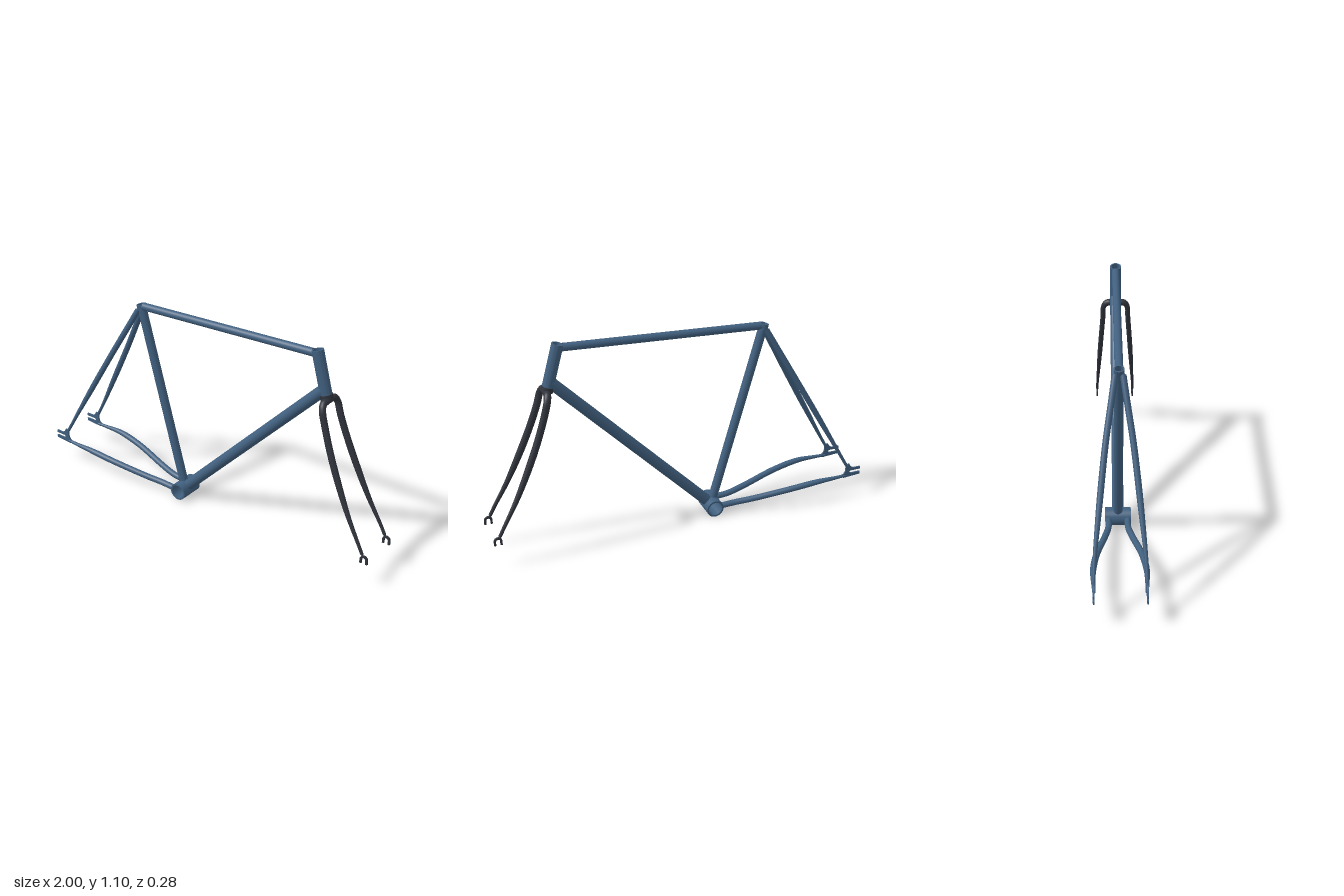
import * as THREE from 'three';
import { toCreasedNormals } from 'three/addons/utils/BufferGeometryUtils.js';

const V = (x, y, z = 0) => new THREE.Vector3(x, y, z);
const framePaint = new THREE.MeshStandardMaterial({ color: 0x41607f, side: THREE.DoubleSide });
const forkPaint = new THREE.MeshStandardMaterial({ color: 0x30343c, side: THREE.DoubleSide });

// Main joints of the frame
const bottom = V(-0.185, 0.046);
const seatTop = V(-0.459, 1.03);
const headTop = V(0.604, 1.09);
const headLow = V(0.661, 0.88);
const forkTop = V(0.668, 0.855);
const Z = V(0, 0, 1);
const seatAxis = seatTop.clone().sub(bottom).normalize();
const headAxis = headTop.clone().sub(headLow).normalize();

function add(group, name, geometry, material) {
  const mesh = new THREE.Mesh(geometry, material);
  mesh.name = name;
  group.add(mesh);
  return mesh;
}

// Hollow pipe with a visible wall from a to b
function pipe(a, b, outer, inner) {
  const shape = new THREE.Shape().absarc(0, 0, outer, 0, Math.PI * 2);
  if (inner) shape.holes.push(new THREE.Path().absarc(0, 0, inner, 0, Math.PI * 2, true));
  const dir = b.clone().sub(a);
  const geo = new THREE.ExtrudeGeometry(shape, { depth: dir.length(), bevelEnabled: false, curveSegments: 20 });
  geo.applyQuaternion(new THREE.Quaternion().setFromUnitVectors(Z, dir.normalize()));
  geo.translate(a.x, a.y, a.z);
  return toCreasedNormals(geo, 0.6);
}

// Distance along a line (p, d) to the wall of a joint cylinder
function wallDistance(p, d, joint, sign) {
  const w = p.clone().sub(joint.center).projectOnPlane(joint.axis);
  const e = d.clone().projectOnPlane(joint.axis);
  const k = w.dot(e), ee = e.lengthSq();
  const disc = Math.max(0, k * k - ee * (w.lengthSq() - joint.radius ** 2));
  return (-k + sign * Math.sqrt(disc)) / ee;
}

// Straight tube whose ends are cut to fit the tubes they meet
function fittedTube(a, b, radius, jointA, jointB) {
  const d = b.clone().sub(a);
  const length = d.length();
  d.normalize();
  const geo = new THREE.CylinderGeometry(radius, radius, 2, 32, 1, true);
  geo.applyQuaternion(new THREE.Quaternion().setFromUnitVectors(V(0, 1, 0), d));
  const pos = geo.attributes.position;
  const p = V(0, 0);
  for (let i = 0; i < pos.count; i++) {
    p.fromBufferAttribute(pos, i);
    const atEnd = p.dot(d) > 0;
    p.projectOnPlane(d).add(a);
    let t = atEnd ? length : 0;
    if (atEnd && jointB) t = wallDistance(p, d, jointB, -1);
    if (!atEnd && jointA) t = wallDistance(p, d, jointA, 1);
    p.addScaledVector(d, t);
    pos.setXYZ(i, p.x, p.y, p.z);
  }
  return geo;
}

// Curved tube with a radius that changes along its length
function taperedTube(points, radiusAt, zScale = 1, rings = 64) {
  const curve = new THREE.CatmullRomCurve3(points);
  const sides = 16;
  const geo = new THREE.TubeGeometry(curve, rings, 1, sides);
  const pos = geo.attributes.position;
  const p = V(0, 0);
  for (let i = 0; i <= rings; i++) {
    const c = curve.getPointAt(i / rings);
    const r = radiusAt(i / rings);
    for (let j = 0; j <= sides; j++) {
      const k = i * (sides + 1) + j;
      p.fromBufferAttribute(pos, k).sub(c).multiplyScalar(r);
      pos.setXYZ(k, c.x + p.x, c.y + p.y, c.z + p.z * zScale);
    }
  }
  return geo;
}

function plate(shape, z, thickness) {
  const geo = new THREE.ExtrudeGeometry(shape, { depth: thickness, bevelEnabled: false, curveSegments: 10 });
  geo.translate(0, 0, z - thickness / 2);
  return toCreasedNormals(geo, 0.6);
}

// Rear wheel end with a slot open to the back
function rearEndShape() {
  const s = new THREE.Shape();
  s.moveTo(-1, 0.122);
  s.lineTo(-0.9, 0.115);
  s.lineTo(-0.895, 0.133);
  s.quadraticCurveTo(-0.92, 0.145, -0.912, 0.185);
  s.lineTo(-0.932, 0.196);
  s.quadraticCurveTo(-0.945, 0.167, -0.965, 0.167);
  s.lineTo(-1, 0.167);
  s.lineTo(-1, 0.153);
  s.lineTo(-0.945, 0.153);
  s.absarc(-0.945, 0.145, 0.008, Math.PI / 2, -Math.PI / 2, true);
  s.lineTo(-1, 0.137);
  return s;
}

// Front wheel end, an arch open to the ground
function frontEndShape() {
  const s = new THREE.Shape();
  const x = 0.979, y = 0.147;
  s.moveTo(x + 0.011, 0.125);
  s.lineTo(x + 0.021, 0.125);
  s.lineTo(x + 0.021, y);
  s.absarc(x, y, 0.021, 0, Math.PI, false);
  s.lineTo(x - 0.021, 0.125);
  s.lineTo(x - 0.011, 0.125);
  s.lineTo(x - 0.011, y);
  s.absarc(x, y, 0.011, Math.PI, 0, true);
  return s;
}

export function createModel() {
  const model = new THREE.Group();
  model.name = 'bicycleFrame';
  const frame = new THREE.Group();
  frame.name = 'frame';
  const fork = new THREE.Group();
  fork.name = 'fork';
  model.add(frame, fork);

  const shellJoint = { center: bottom, axis: Z, radius: 0.041 };
  const seatJoint = { center: bottom, axis: seatAxis, radius: 0.021 };
  const headJoint = { center: headLow, axis: headAxis, radius: 0.026 };

  // Main triangle
  add(frame, 'bottomBracketShell', pipe(V(bottom.x, bottom.y, -0.065), V(bottom.x, bottom.y, 0.065), 0.046, 0.037), framePaint);
  add(frame, 'headTube', pipe(headLow, headTop, 0.029, 0.022), framePaint);
  add(frame, 'seatTube', fittedTube(bottom, seatTop, 0.023, shellJoint), framePaint);
  add(frame, 'seatCollar', pipe(seatTop.clone().addScaledVector(seatAxis, -0.03), seatTop, 0.0245, 0.019), framePaint);
  add(frame, 'downTube', fittedTube(bottom, V(0.65, 0.9), 0.029, shellJoint, headJoint), framePaint);
  add(frame, 'topTube', fittedTube(V(-0.456, 1.02), V(0.609, 1.071), 0.02, seatJoint, headJoint), framePaint);

  // Stays and wheel ends on each side
  for (const [side, s] of [['left', 1], ['right', -1]]) {
    const seatStay = [V(-0.458, 1.012, 0.017 * s), V(-0.52, 0.9, 0.035 * s), V(-0.617, 0.725, 0.064 * s),
      V(-0.787, 0.42, 0.101 * s), V(-0.87, 0.27, 0.117 * s), V(-0.922, 0.178, 0.122 * s)];
    add(frame, side + 'SeatStay', taperedTube(seatStay,
      t => t === 0 || t === 1 ? 0 : 0.015 - 0.007 * THREE.MathUtils.smoothstep(t, 0.55, 1)), framePaint);

    const chainStay = [V(-0.223, 0.05, 0.048 * s), V(-0.3, 0.054, 0.05 * s), V(-0.4, 0.067, 0.069 * s),
      V(-0.6, 0.104, 0.11 * s), V(-0.75, 0.124, 0.125 * s), V(-0.85, 0.125, 0.124 * s), V(-0.925, 0.126, 0.12 * s)];
    add(frame, side + 'ChainStay', taperedTube(chainStay,
      t => t === 1 ? 0 : 0.016 - 0.008 * THREE.MathUtils.smoothstep(t, 0.65, 1)), framePaint);

    add(frame, side + 'RearDropout', plate(rearEndShape(), 0.122 * s, 0.008), framePaint);
    add(fork, side + 'FrontDropout', plate(frontEndShape(), 0.103 * s, 0.01), forkPaint);
  }

  // Both fork blades and the crown as one bent tube
  const blade = [V(0.972, 0.163, 0.103), V(0.945, 0.215, 0.102), V(0.866, 0.36, 0.094), V(0.76, 0.6, 0.079),
    V(0.705, 0.755, 0.068), V(0.686, 0.825, 0.064), V(0.678, 0.85, 0.048), V(0.675, 0.854, 0.018)];
  const mirrored = blade.map(p => V(p.x, p.y, -p.z)).reverse();
  add(fork, 'forkBladesAndCrown', taperedTube([...blade, ...mirrored], t => {
    if (t === 0 || t === 1) return 0;
    return 0.009 + 0.009 * THREE.MathUtils.smoothstep(1 - Math.abs(2 * t - 1), 0, 0.55);
  }, 0.75, 160), forkPaint);

  // Bearing seat between head tube and fork
  add(fork, 'crownRace', pipe(forkTop, headLow, 0.031), forkPaint);
  return model;
}
